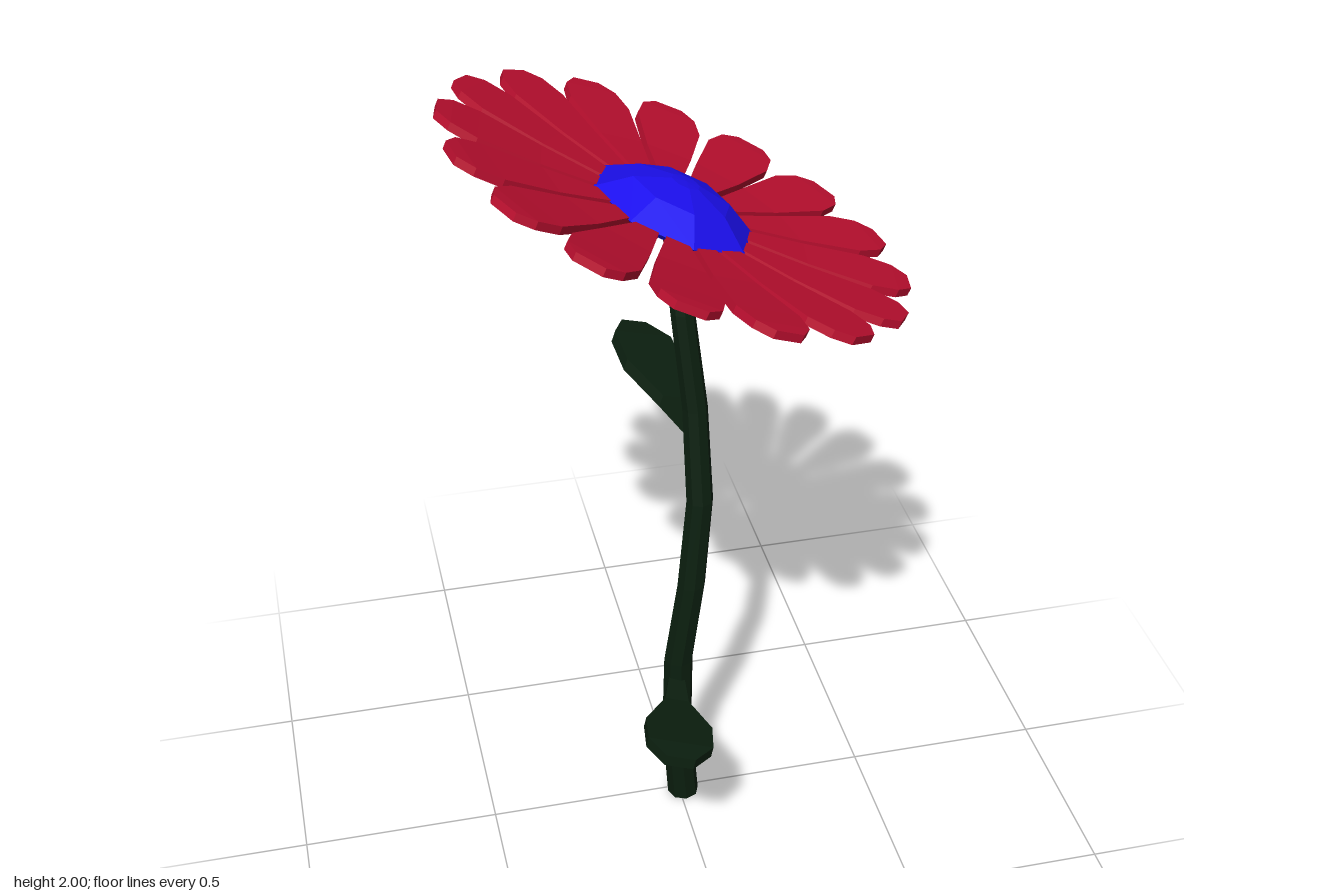
import * as THREE from 'three';

const material = (color) => new THREE.MeshStandardMaterial({ color, flatShading: true, side: THREE.DoubleSide });
const RED = material(0xbb0f2f);
const BLUE = material(0x1c0ff0);
const GREEN = material(0x0c2010);

function faceted(geometry) {
  const flat = geometry.toNonIndexed();
  flat.computeVertexNormals();
  return flat;
}

// Thin blade along +z; stations are [distance, half width, height]
function bladeGeometry(stations, thickness) {
  const n = stations.length - 1;
  const g = new THREE.BoxGeometry(1, 1, 1, 1, 1, n);
  const p = g.attributes.position;
  for (let i = 0; i < p.count; i++) {
    const [d, w, h] = stations[Math.round((p.getZ(i) + 0.5) * n)];
    p.setXYZ(i, Math.sign(p.getX(i)) * w, h + p.getY(i) * thickness, d);
  }
  return faceted(g);
}

// Tapered stem whose rings follow a gentle S-curve
function stemGeometry() {
  const height = 1.75;
  const path = new THREE.CatmullRomCurve3([
    [0.01, 0.015], [-0.012, 0.037], [-0.013, 0.06], [0.015, 0.08],
    [0.035, 0.08], [0.028, 0.055], [0.003, 0.032], [-0.015, 0.005],
  ].map(([x, z], i) => new THREE.Vector3(x, i * 0.25, z)));
  const g = new THREE.CylinderGeometry(0.027, 0.041, height, 8, 7);
  const p = g.attributes.position;
  for (let i = 0; i < p.count; i++) {
    const c = path.getPoint(p.getY(i) / height + 0.5);
    p.setXYZ(i, p.getX(i) + c.x, c.y, p.getZ(i) + c.z);
  }
  return faceted(g);
}

export function createModel() {
  const flower = new THREE.Group();
  flower.name = 'flower';

  const add = (parent, name, geometry, mat) => {
    const mesh = new THREE.Mesh(geometry, mat);
    mesh.name = name;
    parent.add(mesh);
    return mesh;
  };

  add(flower, 'stem', stemGeometry(), GREEN);

  // Two leaves on opposite sides of the stem
  const leaf = bladeGeometry([
    [0, 0.018, 0], [0.11, 0.03, 0.005], [0.23, 0.083, 0.035], [0.33, 0.08, 0.06], [0.39, 0.035, 0.065],
  ], 0.03);
  const leaves = [
    ['lowerLeaf', [-0.02, 0.435, 0.06], Math.atan2(-0.09, 0.38), -0.2],
    ['upperLeaf', [0.02, 1.19, 0.045], Math.atan2(-0.08, -0.38), 0.35],
  ];
  for (const [name, position, turn, roll] of leaves) {
    const mesh = add(flower, name, leaf, GREEN);
    mesh.position.set(...position);
    mesh.rotation.set(0, turn, roll, 'YXZ');
  }

  // Tilted flower head
  const head = new THREE.Group();
  head.name = 'flowerHead';
  head.position.set(-0.015, 1.735, 0);
  head.rotation.z = -0.41;
  flower.add(head);

  // Ring of sixteen slightly cupped petals
  const petal = bladeGeometry([
    [0.1, 0.02, 0], [0.17, 0.025, 0.004], [0.32, 0.056, 0.013], [0.47, 0.081, 0.028], [0.535, 0.068, 0.035], [0.57, 0.035, 0.037],
  ], 0.02);
  for (let i = 0; i < 16; i++) {
    add(head, 'petal', petal, RED).rotation.y = (i + 0.5) * Math.PI / 8;
  }

  // Eight-sided domed centre
  const dome = [[0, -0.005], [0.17, -0.005], [0.197, 0.012], [0.12, 0.06], [0.035, 0.082], [0, 0.084]];
  add(head, 'flowerCentre',
    faceted(new THREE.LatheGeometry(dome.map(([x, y]) => new THREE.Vector2(x, y)), 8)), BLUE);

  return flower;
}
